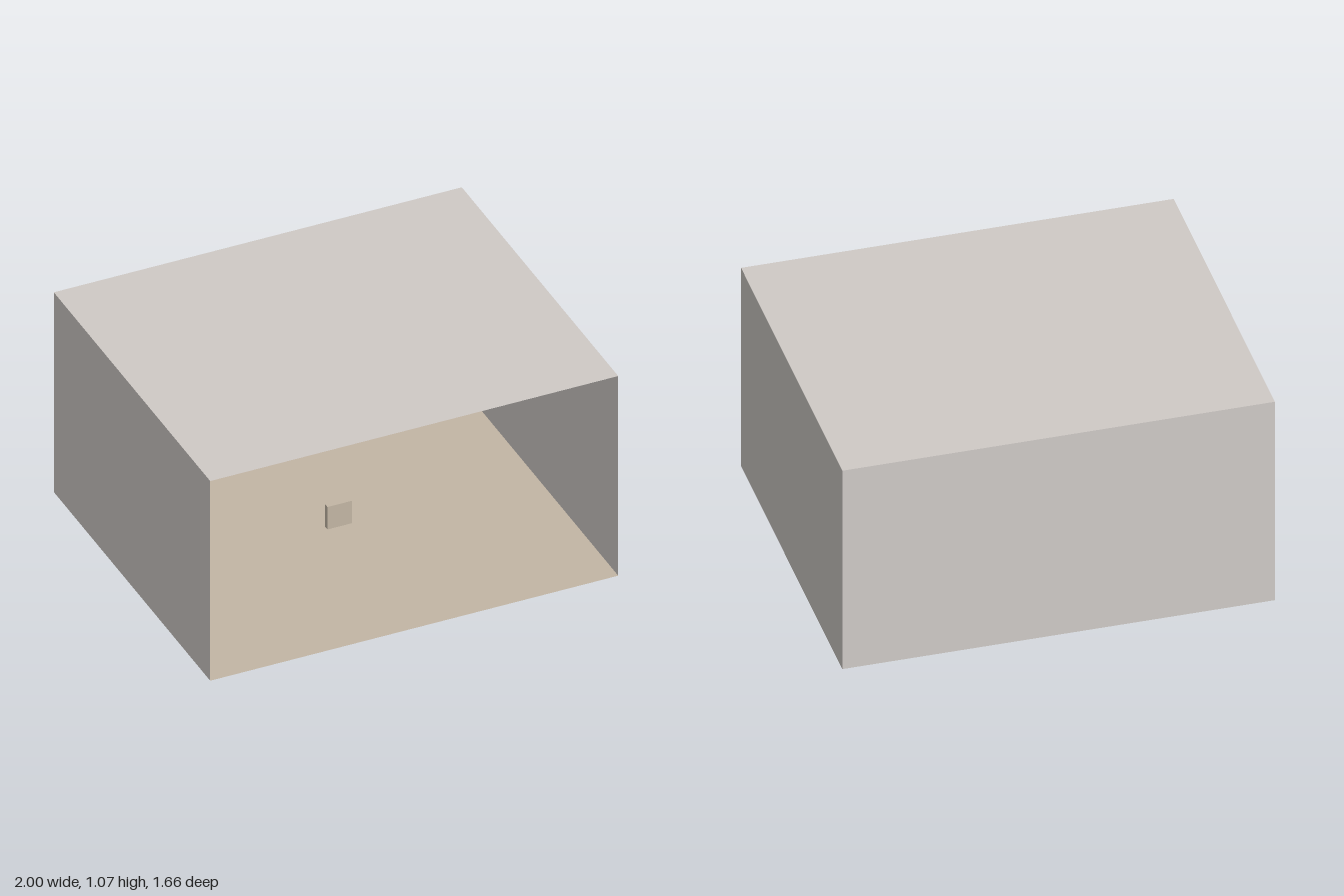
import * as THREE from 'three';

const W = 2, H = 1.07, D = 1.66;

export function createModel() {
  const group = new THREE.Group();
  group.name = 'room';

  const wallPaint = new THREE.MeshStandardMaterial({ color: 0xcfcac6, side: THREE.DoubleSide });
  wallPaint.name = 'wallPaint';
  const floorTan = new THREE.MeshStandardMaterial({ color: 0xc2b5a4, side: THREE.DoubleSide });
  floorTan.name = 'floorTan';

  // Adds one thin panel of the shell, turned about x or y
  function panel(name, w, h, material, position, rx, ry) {
    const mesh = new THREE.Mesh(new THREE.PlaneGeometry(w, h), material);
    mesh.name = name;
    mesh.position.set(...position);
    mesh.rotation.set(rx, ry, 0);
    group.add(mesh);
  }

  // Shell, open at the front
  panel('floor', W, D, floorTan, [0, 0, 0], -Math.PI / 2, 0);
  panel('ceiling', W, D, wallPaint, [0, H, 0], -Math.PI / 2, 0);
  panel('backWall', W, H, wallPaint, [0, H / 2, -D / 2], 0, Math.PI);
  panel('leftWall', D, H, wallPaint, [W / 2, H / 2, 0], 0, Math.PI / 2);
  panel('rightWall', D, H, wallPaint, [-W / 2, H / 2, 0], 0, -Math.PI / 2);

  // Small upright slab standing on the floor
  const slab = new THREE.Mesh(new THREE.BoxGeometry(0.12, 0.12, 0.025), floorTan);
  slab.name = 'slab';
  slab.position.set(0.04, 0.06, -0.06);
  group.add(slab);

  return group;
}
